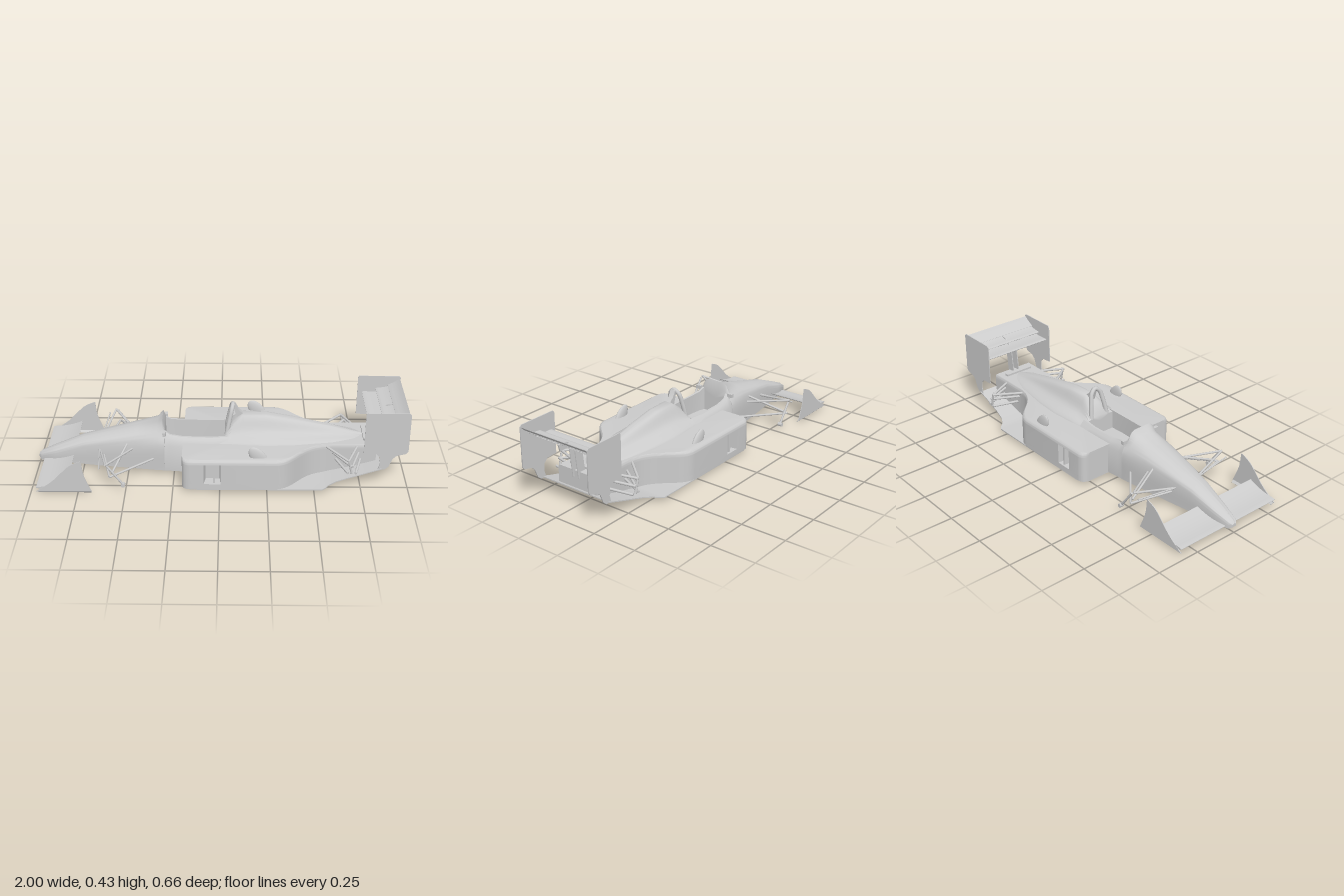
import * as THREE from 'three';
import { toCreasedNormals } from 'three/addons/utils/BufferGeometryUtils.js';

const material = new THREE.MeshStandardMaterial({ color: 0xcccccc, side: THREE.DoubleSide });
const V = (x, y, z) => new THREE.Vector3(x, y, z);

function add(group, name, geometry) {
  const mesh = new THREE.Mesh(geometry, material);
  mesh.name = name;
  group.add(mesh);
  return mesh;
}

// Joins closed rings of equal length, front to back along x
function loft(rings, caps = true) {
  const n = rings[0].length, pos = [], idx = [];
  rings.forEach(r => r.forEach(p => pos.push(p.x, p.y, p.z)));
  for (let i = 0; i < rings.length - 1; i++) {
    for (let j = 0; j < n; j++) {
      const a = i * n + j, b = i * n + (j + 1) % n;
      idx.push(a, a + n, b + n, a, b + n, b);
    }
  }
  if (caps) [0, rings.length - 1].forEach(i => {
    const c = rings[i].reduce((s, p) => s.add(p), V(0, 0, 0)).divideScalar(n);
    const k = pos.length / 3;
    pos.push(c.x, c.y, c.z);
    for (let j = 0; j < n; j++) {
      const a = i * n + j, b = i * n + (j + 1) % n;
      idx.push(k, i ? b : a, i ? a : b);
    }
  });
  const g = new THREE.BufferGeometry();
  g.setAttribute('position', new THREE.Float32BufferAttribute(pos, 3));
  g.setIndex(idx);
  return toCreasedNormals(g, 0.7);
}

// Body section: flat sides, shoulder, flank point and crown, mirrored in z
function bodyRing([x, hw, yb, ys, mz, my, tw, yt]) {
  const half = [[hw, yb], [hw, ys], [mz, my], [tw, yt - 0.006]];
  const pts = half.map(([z, y]) => V(x, y, z));
  pts.push(V(x, yt, 0), ...half.map(([z, y]) => V(x, y, -z)).reverse());
  return new THREE.CatmullRomCurve3(pts, false, 'centripetal').getPoints(40);
}

// Upright plate from side-view points, centred on z
function plate(points, width, z = 0) {
  const shape = new THREE.Shape(points.map(p => new THREE.Vector2(...p)));
  const g = new THREE.ExtrudeGeometry(shape, { depth: width, bevelEnabled: false });
  g.translate(0, 0, z - width / 2);
  return toCreasedNormals(g, 0.6);
}

// Curved aerofoil from leading to trailing edge
function aerofoil([x0, y0], [x1, y1], sag, thick, width, z = 0) {
  const top = [], under = [];
  for (let i = 0; i <= 12; i++) {
    const t = i / 12, x = x0 + (x1 - x0) * t;
    const y = y0 + (y1 - y0) * t - sag * 4 * t * (1 - t);
    const h = thick * (1.6 * Math.sqrt(t) * (1 - t) + 0.12);
    top.push([x, y + h / 2]);
    under.unshift([x, y - h / 2]);
  }
  return plate([...top, ...under], width, z);
}

function rod(a, b, r = 0.006) {
  const p = V(...a), q = V(...b), d = q.clone().sub(p);
  const g = new THREE.CylinderGeometry(r, r, d.length(), 10);
  g.applyQuaternion(new THREE.Quaternion().setFromUnitVectors(V(0, 1, 0), d.normalize()));
  return g.translate(...p.add(q).multiplyScalar(0.5).toArray());
}

const floorY = x => 0.015 + 0.08 * Math.pow(Math.max(0, (x - 0.54) / 0.32), 1.3);

// Horizontal slab of the sidepod plan, with a rounded top edge and rising belly
function podSlab(y0, y1, notch, round) {
  const shape = new THREE.Shape();
  shape.moveTo(-0.2, 0.1);
  shape.lineTo(-0.2, 0.27);
  shape.quadraticCurveTo(-0.2, 0.305, -0.16, 0.31);
  if (notch) [[-0.085, 0.31], [-0.075, 0.25], [0, 0.25], [0.005, 0.31]].forEach(p => shape.lineTo(...p));
  shape.lineTo(0.29, 0.31);
  shape.bezierCurveTo(0.4, 0.31, 0.42, 0.15, 0.57, 0.13);
  for (let x = 0.6; x < 0.85; x += 0.04) shape.lineTo(x, 0.125);
  shape.lineTo(0.84, 0.125);
  shape.lineTo(0.84, 0);
  shape.lineTo(0.06, 0);
  shape.lineTo(0.06, 0.1);
  const h = y1 - y0;
  const g = new THREE.ExtrudeGeometry(shape, { depth: h, steps: round ? 5 : 1, bevelEnabled: false, curveSegments: 20 });
  g.rotateX(Math.PI / 2).translate(0, y1, 0);
  const p = g.attributes.position;
  for (let i = 0; i < p.count; i++) {
    const t = THREE.MathUtils.clamp((p.getY(i) - y0) / h, 0, 1);
    if (round) p.setZ(i, p.getZ(i) * (1 - 0.055 * (1 - Math.sqrt(1 - t * t))));
    p.setY(i, Math.max(p.getY(i), floorY(p.getX(i))));
  }
  return toCreasedNormals(g, 0.6);
}

// Parts that exist once per side, built at +z
function buildSide() {
  const side = new THREE.Group();
  add(side, 'sidepodLower', podSlab(0.018, 0.05));
  add(side, 'sidepodMiddle', podSlab(0.05, 0.165, true));
  add(side, 'sidepodTop', podSlab(0.165, 0.19, false, true));
  add(side, 'ductVane', new THREE.BoxGeometry(0.012, 0.115, 0.05).translate(-0.03, 0.108, 0.275));

  // Periscope fin on the sidepod
  const fin = new THREE.SphereGeometry(1, 20, 12, 0, Math.PI * 2, 0, Math.PI / 2).scale(0.046, 0.062, 0.015);
  const p = fin.attributes.position;
  for (let i = 0; i < p.count; i++) p.setX(i, p.getX(i) - 0.45 * p.getY(i));
  fin.computeVertexNormals();
  add(side, 'periscope', fin.translate(0.205, 0.187, 0.262));

  add(side, 'mirror', new THREE.BoxGeometry(0.018, 0.02, 0.032).translate(-0.3, 0.24, 0.108));
  add(side, 'mirrorStalk', rod([-0.3, 0.235, 0.105], [-0.29, 0.2, 0.09], 0.004));

  // Front suspension
  [
    [[-0.58, 0.09, 0.31], [-0.34, 0.09, 0.1]], [[-0.58, 0.09, 0.31], [-0.635, 0.09, 0.07]],
    [[-0.6, 0.162, 0.31], [-0.47, 0.14, 0.09]], [[-0.6, 0.162, 0.31], [-0.655, 0.115, 0.06]],
    [[-0.59, 0.155, 0.31], [-0.51, 0.045, 0.31]], [[-0.57, 0.1, 0.29], [-0.5, 0.17, 0.08]],
  ].forEach(([a, b]) => add(side, 'frontSuspensionArm', rod(a, b)));
  add(side, 'frontTrackRod', rod([-0.635, 0.14, 0.31], [-0.66, 0.12, 0.05], 0.004));
  add(side, 'frontHub', rod([-0.51, 0.045, 0.3], [-0.51, 0.045, 0.325], 0.011));

  // Rear suspension
  [
    [[0.68, 0.165, 0.258], [0.56, 0.178, 0.11]], [[0.68, 0.165, 0.258], [0.74, 0.175, 0.11]],
    [[0.7, 0.13, 0.258], [0.6, 0.14, 0.11]], [[0.7, 0.13, 0.258], [0.75, 0.14, 0.11]],
    [[0.68, 0.092, 0.258], [0.62, 0.1, 0.11]], [[0.72, 0.092, 0.258], [0.76, 0.1, 0.11]],
  ].forEach(([a, b]) => add(side, 'rearSuspensionArm', rod(a, b, 0.007)));
  add(side, 'rearUpright', rod([0.68, 0.17, 0.255], [0.7, 0.088, 0.255], 0.006));

  // Front wing half, its end plate and the turned-in foot
  add(side, 'frontWing', aerofoil([-0.97, 0.035], [-0.8, 0.075], 0.014, 0.018, 0.3, 0.18));
  const edge = new THREE.SplineCurve([[-0.97, 0.012], [-0.88, 0.075], [-0.79, 0.165], [-0.725, 0.197]].map(q => new THREE.Vector2(...q)));
  const back = new THREE.SplineCurve([[-0.722, 0.19], [-0.715, 0.12], [-0.695, 0.06], [-0.675, 0.012]].map(q => new THREE.Vector2(...q)));
  add(side, 'frontEndPlate', plate([...edge.getPoints(12), ...back.getPoints(10)].map(q => [q.x, q.y]), 0.004, 0.33));
  const foot = new THREE.BoxGeometry(0.28, 0.004, 0.018).rotateX(-0.75);
  add(side, 'endPlateFoot', foot.translate(-0.82, 0.0075, 0.324));

  // Rear wing end plate with its leg down to the diffuser
  add(side, 'rearEndPlate', plate([
    [0.76, 0.42], [0.768, 0.43], [0.985, 0.43], [0.995, 0.42], [0.995, 0.205], [0.985, 0.19], [0.935, 0.178],
    [0.915, 0.16], [0.895, 0.11], [0.875, 0.093], [0.84, 0.093], [0.85, 0.13], [0.845, 0.17], [0.825, 0.19], [0.76, 0.195],
  ], 0.005, 0.218));
  add(side, 'rearWingStrut', plate([[0.8, 0.155], [0.85, 0.155], [0.87, 0.335], [0.82, 0.335]], 0.005, 0.018));
  return side;
}

export function createModel() {
  const car = new THREE.Group();
  car.name = 'racingCar';

  // Nose and front tub
  add(car, 'nose', loft([
    [-1, 0.012, 0.035, 0.045, 0.012, 0.05, 0.006, 0.056], [-0.985, 0.028, 0.026, 0.045, 0.025, 0.06, 0.012, 0.07],
    [-0.9, 0.045, 0.025, 0.07, 0.04, 0.092, 0.02, 0.107], [-0.75, 0.064, 0.022, 0.11, 0.056, 0.147, 0.03, 0.167],
    [-0.64, 0.08, 0.02, 0.13, 0.07, 0.172, 0.035, 0.194], [-0.45, 0.106, 0.02, 0.16, 0.09, 0.21, 0.045, 0.242],
    [-0.34, 0.122, 0.02, 0.175, 0.098, 0.225, 0.055, 0.27], [-0.312, 0.124, 0.02, 0.178, 0.1, 0.225, 0.065, 0.298],
    [-0.3, 0.125, 0.02, 0.178, 0.1, 0.222, 0.068, 0.262],
  ].map(bodyRing)));

  // Open cockpit tub
  add(car, 'cockpit', loft([
    [-0.31, 0.124, 0.082, 0.25], [-0.27, 0.128, 0.095, 0.225], [-0.2, 0.135, 0.103, 0.217], [-0.05, 0.14, 0.106, 0.215], [0.045, 0.14, 0.1, 0.22],
  ].map(([x, hw, rz, ry]) => {
    const half = [[hw, 0.02], [hw, 0.175], [rz + 0.012, ry - 0.012], [rz, ry], [rz - 0.012, ry], [rz - 0.014, 0.11]];
    return [...half.map(([z, y]) => V(x, y, z)), ...half.map(([z, y]) => V(x, y, -z)).reverse()];
  }), false));

  // Engine cover
  add(car, 'engineCover', loft([
    [0.025, 0.13, 0.1, 0.18, 0.1, 0.205, 0.05, 0.222], [0.07, 0.135, 0.1, 0.185, 0.085, 0.215, 0.04, 0.28],
    [0.12, 0.14, 0.1, 0.187, 0.075, 0.232, 0.03, 0.315], [0.25, 0.15, 0.1, 0.186, 0.073, 0.235, 0.03, 0.311],
    [0.4, 0.14, 0.1, 0.186, 0.066, 0.225, 0.028, 0.285], [0.6, 0.11, 0.1, 0.184, 0.048, 0.21, 0.02, 0.242],
    [0.72, 0.075, 0.1, 0.18, 0.032, 0.196, 0.014, 0.208], [0.79, 0.05, 0.1, 0.175, 0.025, 0.184, 0.01, 0.189],
  ].map(bodyRing)));

  // Roll hoop with a rear stay
  const arch = new THREE.CatmullRomCurve3([
    V(0.035, 0.21, 0.055), V(0.05, 0.29, 0.042), V(0.063, 0.35, 0.026), V(0.068, 0.368, 0),
    V(0.063, 0.35, -0.026), V(0.05, 0.29, -0.042), V(0.035, 0.21, -0.055),
  ]);
  add(car, 'rollHoop', new THREE.TubeGeometry(arch, 40, 0.012, 10));
  add(car, 'rollHoopStay', plate([[0.065, 0.375], [0.08, 0.37], [0.1, 0.335], [0.135, 0.305], [0.09, 0.29]], 0.03));

  // Floor and diffuser
  add(car, 'floor', loft([
    [-0.2, 0.27], [-0.185, 0.295], [-0.15, 0.31], [0.54, 0.31], [0.56, 0.295], [0.58, 0.27], [0.62, 0.247],
    [0.68, 0.235], [0.74, 0.23], [0.8, 0.226], [0.86, 0.225],
  ].map(([x, w]) => {
    const y = floorY(x);
    return [V(x, y, w), V(x, y + 0.006, w), V(x, y + 0.006, -w), V(x, y, -w)];
  })));

  // Rear wing elements
  add(car, 'rearWingMain', aerofoil([0.785, 0.333], [0.9, 0.338], 0.008, 0.022, 0.434));
  add(car, 'rearWingFlap', aerofoil([0.86, 0.355], [0.945, 0.375], 0.008, 0.018, 0.434));
  add(car, 'rearWingUpperFlap', aerofoil([0.925, 0.376], [0.99, 0.417], 0.006, 0.01, 0.434));
  add(car, 'rearWingBracket', plate([[0.86, 0.34], [0.95, 0.34], [0.96, 0.375], [0.9, 0.37]], 0.008));
  add(car, 'tailBlade', new THREE.BoxGeometry(0.025, 0.012, 0.17).translate(0.785, 0.195, 0));

  // Mirrored side parts
  const left = buildSide(), right = buildSide();
  left.name = 'nearSide';
  right.name = 'farSide';
  right.scale.z = -1;
  car.add(left, right);
  return car;
}
